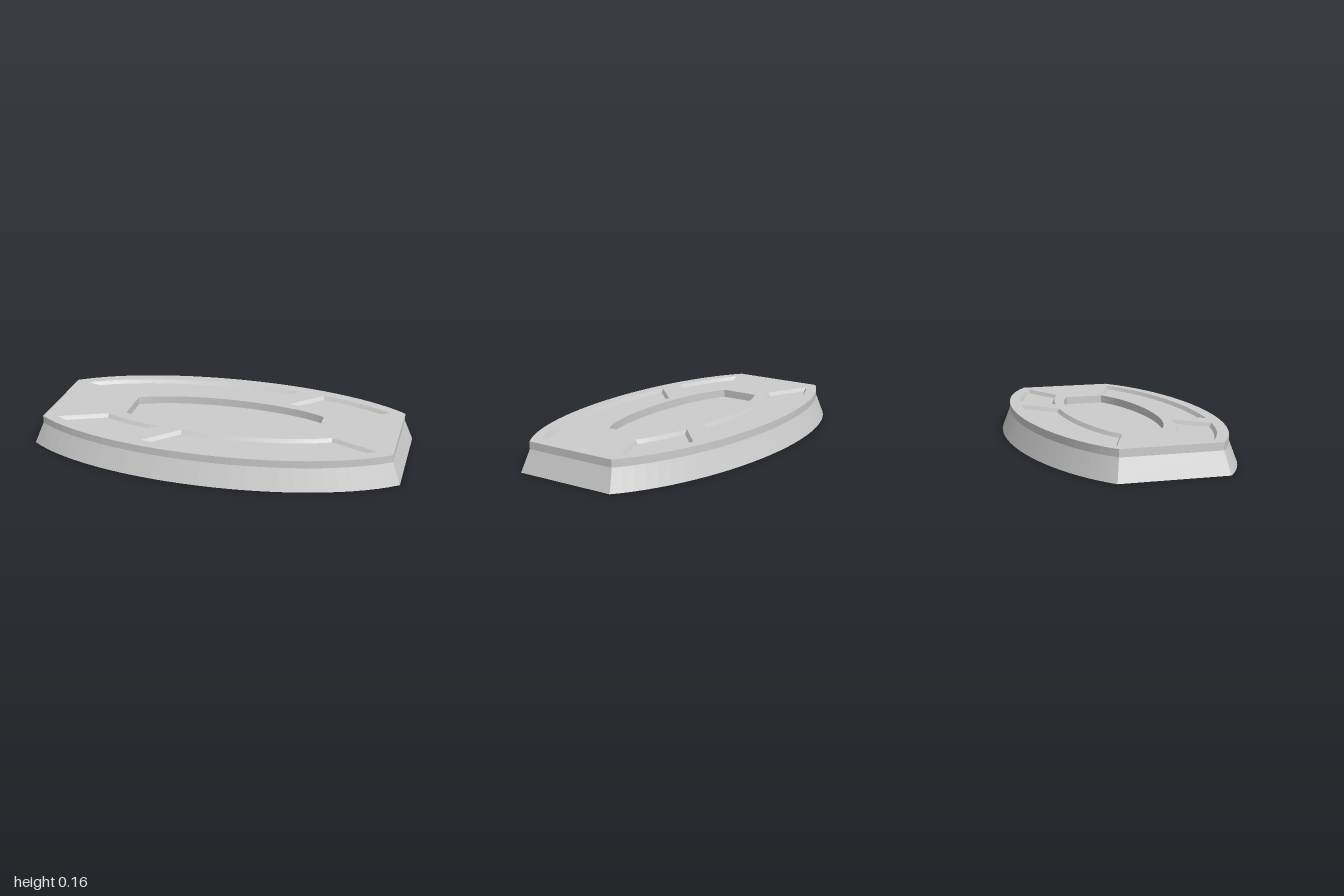
import * as THREE from 'three';

const material = new THREE.MeshStandardMaterial({ color: 0xcccccc, side: THREE.DoubleSide, flatShading: true });
const TOP = 0.155, RIM = 0.115;

// Points [x, z] along an elliptical arc: z = b * sqrt(1 - x²/a²)
function arc(a, b, x0, x1, n) {
  const t0 = Math.asin(x0 / a), t1 = Math.asin(x1 / a), pts = [];
  for (let i = 0; i <= n; i++) {
    const t = t0 + (t1 - t0) * i / n;
    pts.push([a * Math.sin(t), b * Math.cos(t)]);
  }
  return pts;
}

const turn = pts => pts.map(([x, z]) => [-x, -z]);

// Long outline: two bowed sides joined by straight ends
function outline(halfX, cornerZ, midZ, n) {
  const a = halfX / Math.sqrt(1 - (cornerZ / midZ) ** 2);
  const side = arc(a, midZ, -halfX, halfX, n);
  return [...side, ...turn(side)];
}

// Shrink a loop inward by d with mitred corners
function inset(pts, d) {
  const n = pts.length;
  const normal = (p, q) => {
    const dx = q[0] - p[0], dz = q[1] - p[1], l = Math.hypot(dx, dz);
    return [dz / l, -dx / l];
  };
  return pts.map((p, i) => {
    const u = normal(pts[(i + n - 1) % n], p), v = normal(p, pts[(i + 1) % n]);
    const k = d / (1 + u[0] * v[0] + u[1] * v[1]);
    return [p[0] + (u[0] + v[0]) * k, p[1] + (u[1] + v[1]) * k];
  });
}

function addMesh(parent, name, geometry) {
  const mesh = new THREE.Mesh(geometry, material);
  mesh.name = name;
  parent.add(mesh);
}

// Wall between two loops with equal point counts
function addWall(parent, name, loopA, yA, loopB, yB) {
  const pos = [], n = loopA.length;
  for (let i = 0; i < n; i++) {
    const j = (i + 1) % n;
    const a = [loopA[i][0], yA, loopA[i][1]], b = [loopA[j][0], yA, loopA[j][1]];
    const c = [loopB[j][0], yB, loopB[j][1]], d = [loopB[i][0], yB, loopB[i][1]];
    pos.push(...a, ...b, ...c, ...a, ...c, ...d);
  }
  const g = new THREE.BufferGeometry();
  g.setAttribute('position', new THREE.Float32BufferAttribute(pos, 3));
  g.computeVertexNormals();
  addMesh(parent, name, g);
}

// Flat upward-facing plate with optional holes
function addPlate(parent, name, loop, y, holes = []) {
  const vecs = pts => pts.map(([x, z]) => new THREE.Vector2(x, -z));
  const shape = new THREE.Shape(vecs(loop));
  shape.holes = holes.map(h => new THREE.Path(vecs(h)));
  addMesh(parent, name, new THREE.ShapeGeometry(shape).rotateX(-Math.PI / 2).translate(0, y, 0));
}

export function createModel() {
  const model = new THREE.Group();
  model.name = 'base';

  // Sloped skirt and upright rim, open underneath
  const foot = outline(1, 0.286, 0.553, 28);
  const rim = outline(0.955, 0.264, 0.508, 28);
  addWall(model, 'skirt', foot, 0, rim, RIM);
  addWall(model, 'rim', rim, RIM, rim, TOP);

  // Recess outlines: one centre, plus a long and a short one on each side
  const sector = (outer0, outer1, inner0, inner1, n) => [
    ...arc(1.054, 0.444, outer0, outer1, n),
    ...arc(0.745, 0.254, inner1, inner0, n),
  ];
  const long = sector(-0.345, 0.875, -0.175, 0.62, 18);
  const short = sector(-0.875, -0.48, -0.62, -0.31, 8);
  const recesses = [
    { name: 'centreRecess', loop: outline(0.53, 0.106, 0.207, 24), depth: 0.042, slope: 0 },
    { name: 'frontLongRecess', loop: long, depth: 0.02, slope: 0.012 },
    { name: 'frontShortRecess', loop: short, depth: 0.02, slope: 0.012 },
    { name: 'backLongRecess', loop: turn(long), depth: 0.02, slope: 0.012 },
    { name: 'backShortRecess', loop: turn(short), depth: 0.02, slope: 0.012 },
  ];

  // Top deck with sunken recesses
  addPlate(model, 'deck', rim, TOP, recesses.map(r => r.loop));
  for (const { name, loop, depth, slope } of recesses) {
    const group = new THREE.Group();
    group.name = name;
    const floor = inset(loop, slope);
    addWall(group, name + 'Wall', loop, TOP, floor, TOP - depth);
    addPlate(group, name + 'Floor', floor, TOP - depth);
    model.add(group);
  }
  return model;
}
